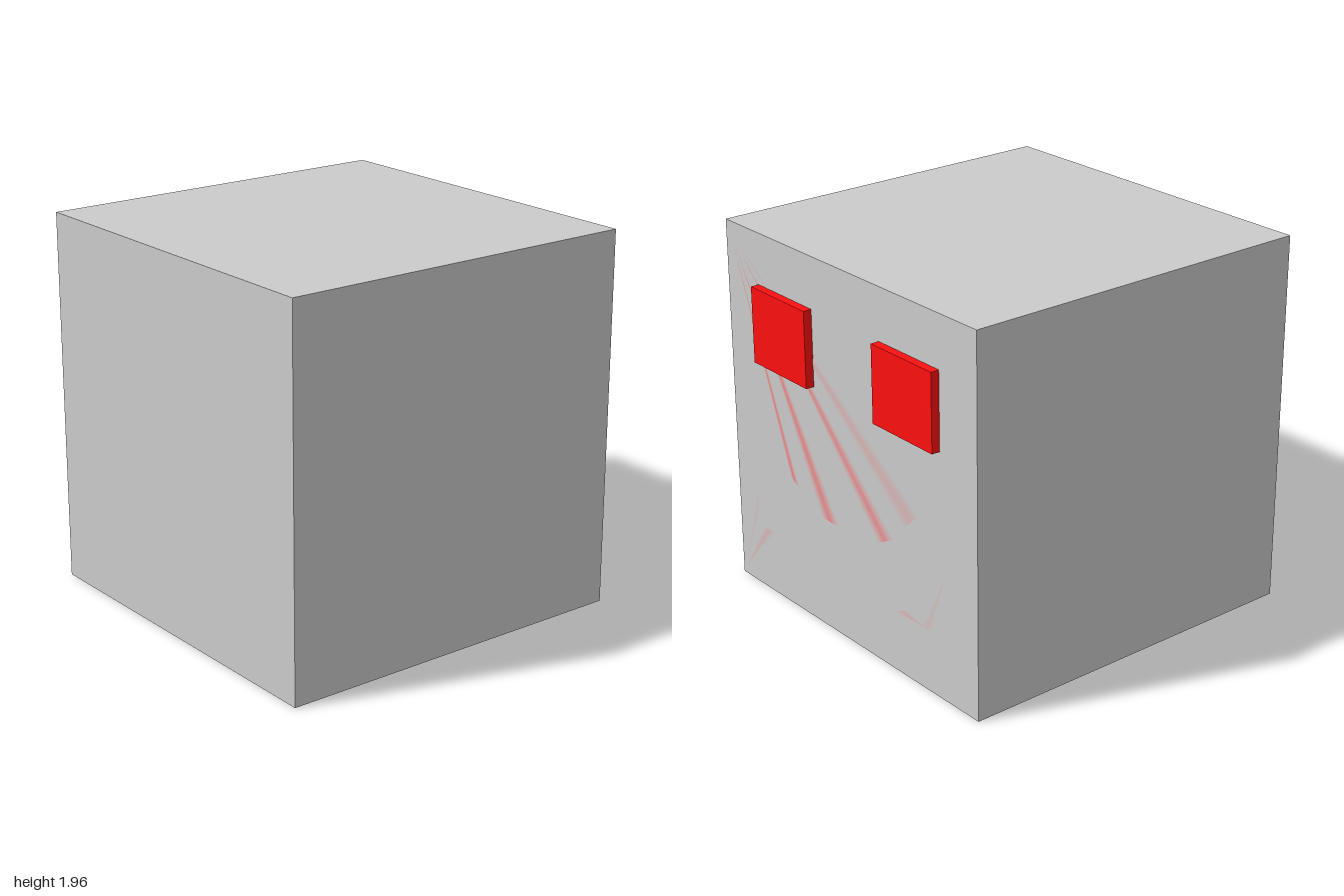
import * as THREE from 'three';

const GREY = new THREE.Color(0xcccccc);
const RED = new THREE.Color(0xff1010);
const SIDE_X = 0.955;

function material(color) {
  return new THREE.MeshStandardMaterial({ color });
}

// Flat patch lying on the +x side; corners are given as [z, y]
function sidePatch(name, corners, color, lift) {
  const shape = new THREE.Shape(corners.map(([z, y]) => new THREE.Vector2(-z, y)));
  const mesh = new THREE.Mesh(new THREE.ShapeGeometry(shape), material(color));
  mesh.name = name;
  mesh.rotation.y = Math.PI / 2;
  mesh.position.x = SIDE_X + lift;
  return mesh;
}

// Tapered streak from a point to an end edge, darkening towards its centre line
function streak(name, tip, a, b, strength) {
  const group = new THREE.Group();
  group.name = name;
  const levels = 4;
  const mix = (p, q, t) => [p[0] + (q[0] - p[0]) * t, p[1] + (q[1] - p[1]) * t];
  for (let i = 0; i < levels; i++) {
    const inset = (0.5 * i) / levels;
    const color = GREY.clone().lerp(RED, (strength * (i + 1)) / levels);
    const start = mix(tip, mix(a, b, 0.5), 0.2 * (1 - i / levels));
    const corners = [start, mix(a, b, inset), mix(b, a, inset)];
    group.add(sidePatch('streakBand', corners, color, 0.0006 * (i + 1)));
  }
  return group;
}

export function createModel() {
  const model = new THREE.Group();
  model.name = 'cubeWithFace';

  // Cube body
  const body = new THREE.Mesh(new THREE.BoxGeometry(1.955, 1.96, 1.96), material(GREY));
  body.name = 'body';
  body.position.set(SIDE_X - 1.955 / 2, 0.98, 0);
  model.add(body);

  // Pair of raised square eyes
  for (const side of [1, -1]) {
    const eye = new THREE.Mesh(new THREE.BoxGeometry(0.045, 0.4, 0.445), material(RED));
    eye.name = side > 0 ? 'frontEye' : 'backEye';
    eye.position.set(SIDE_X + 0.0225, 1.49, side * 0.49);
    model.add(eye);
  }

  // Streaks fanning out from the upper and lower front corners
  const top = [0.95, 1.92];
  const low = [0.96, 0.03];
  const streaks = [
    [top, [0.5, 0.73], [0.43, 0.69], 0.6],
    [top, [0.23, 0.6], [0.1, 0.6], 0.55],
    [top, [-0.23, 0.64], [-0.34, 0.7], 0.5],
    [top, [-0.44, 0.8], [-0.54, 0.9], 0.22],
    [low, [0.77, 0.34], [0.67, 0.35], 0.22],
    [low, [0.81, 0.56], [0.8, 0.42], 0.1],
    [[-0.62, 0.33], [-0.43, 0.36], [-0.36, 0.32], 0.25],
    [[-0.76, 0.7], [-0.64, 0.34], [-0.56, 0.32], 0.12],
  ];
  const marks = new THREE.Group();
  marks.name = 'streaks';
  streaks.forEach((s) => marks.add(streak('streak', ...s)));
  model.add(marks);

  return model;
}
